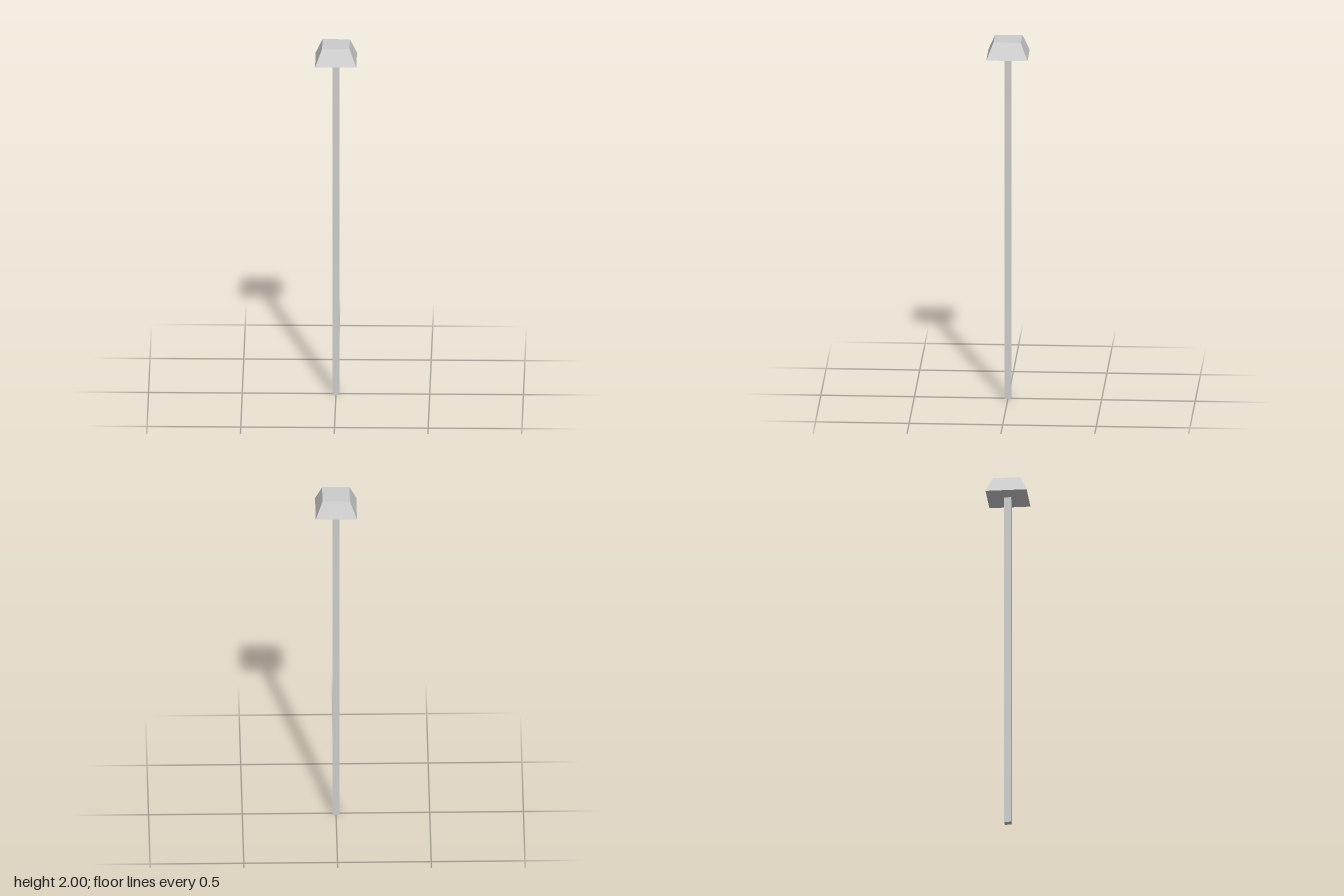
import * as THREE from 'three';

const HEAD_BASE = 1.91;
const TOP = 2;

export function createModel() {
  const group = new THREE.Group();
  const material = new THREE.MeshStandardMaterial({ color: 0xcccccc, flatShading: true });

  // Square-section post standing on the ground
  const pole = new THREE.Mesh(new THREE.BoxGeometry(0.037, HEAD_BASE, 0.037), material);
  pole.name = 'pole';
  pole.position.y = HEAD_BASE / 2;

  // Tapered square cap: a four-sided frustum turned to face the axes
  const headGeometry = new THREE.CylinderGeometry(
    0.073 * Math.SQRT2, 0.11 * Math.SQRT2, TOP - HEAD_BASE, 4
  ).rotateY(Math.PI / 4);
  const head = new THREE.Mesh(headGeometry, material);
  head.name = 'head';
  head.position.y = (HEAD_BASE + TOP) / 2;

  group.add(pole, head);
  return group;
}
